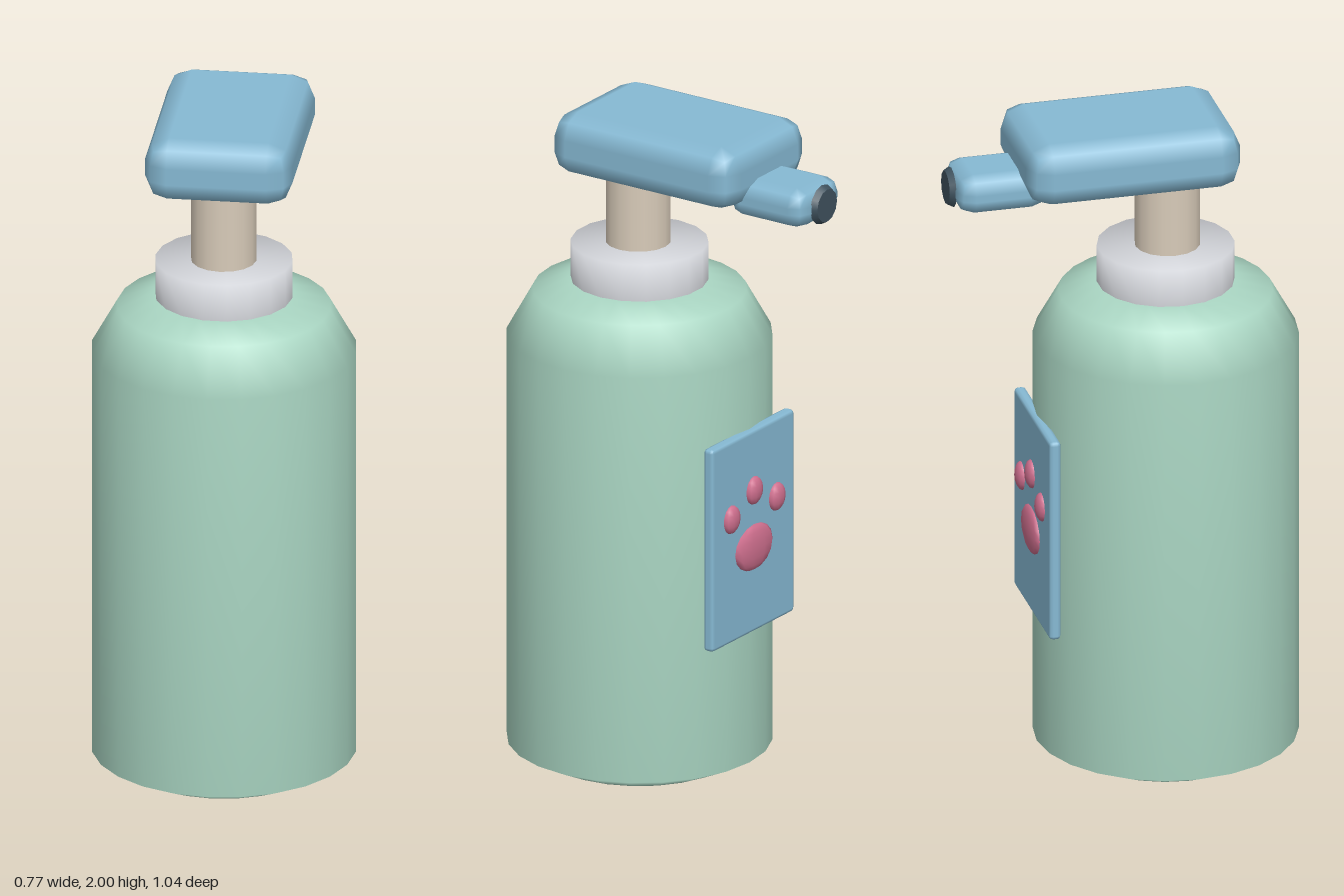
import * as THREE from 'three';
import { RoundedBoxGeometry } from 'three/addons/geometries/RoundedBoxGeometry.js';

const mat = (name, color) => {
  const m = new THREE.MeshStandardMaterial({ color });
  m.name = name;
  return m;
};

export function createModel() {
  const green = mat('mint green', 0xaad6c3);
  const blue = mat('soft blue', 0x86b9d3);
  const grey = mat('light grey', 0xcfd1d6);
  const beige = mat('beige', 0xd8cbb9);
  const dark = mat('dark slate', 0x3f525e);
  const pink = mat('pink', 0xd0708f);

  const group = new THREE.Group();
  group.name = 'pumpBottle';
  const add = (name, geometry, material, x, y, z) => {
    const mesh = new THREE.Mesh(geometry, material);
    mesh.name = name;
    mesh.position.set(x, y, z);
    group.add(mesh);
    return mesh;
  };
  const lathe = (profile, sides) =>
    new THREE.LatheGeometry(profile.map(([r, y]) => new THREE.Vector2(r, y)), sides);

  const axisZ = 0.135; // the bottle axis sits forward of the nozzle

  // Bottle with chamfered foot and sloping shoulder
  add('bottle', lathe([
    [0, 0], [0.28, 0], [0.385, 0.05], [0.385, 1.3], [0.31, 1.435], [0.2, 1.467], [0, 1.467],
  ], 24), green, 0, 0, axisZ);

  // Collar and pump stem
  const collar = add('collar', lathe([[0.2, 1.46], [0.2, 1.58], [0, 1.58]], 18), grey, 0, 0, axisZ);
  collar.rotation.y = Math.PI / 18;
  add('stem', new THREE.CylinderGeometry(0.095, 0.095, 0.29, 16), beige, 0, 1.705, 0.14);

  // Pump head, nozzle and nozzle tip
  add('pumpHead', new RoundedBoxGeometry(0.43, 0.19, 0.64, 1, 0.07), blue, 0, 1.905, 0);
  add('nozzle', new RoundedBoxGeometry(0.22, 0.12, 0.267, 1, 0.05), blue, 0, 1.83, -0.373);
  const tip = add('nozzleTip', new THREE.CylinderGeometry(0.05, 0.06, 0.018, 12), dark, 0, 1.83, -0.513);
  tip.rotation.x = -Math.PI / 2;

  // Label plate on the back
  add('label', new RoundedBoxGeometry(0.42, 0.625, 0.035, 1, 0.012), blue, 0, 0.768, -0.2475);

  // Paw print: one large pad and three toes
  const pads = [
    ['pawPad', 0, 0.72, 0.095, 0.07],
    ['leftToe', 0.115, 0.84, 0.038, 0.043],
    ['middleToe', 0, 0.895, 0.038, 0.043],
    ['rightToe', -0.115, 0.84, 0.038, 0.043],
  ];
  for (const [name, x, y, rx, ry] of pads) {
    add(name, new THREE.SphereGeometry(1, 10, 8), pink, x, y, -0.265).scale.set(rx, ry, 0.02);
  }

  return group;
}
